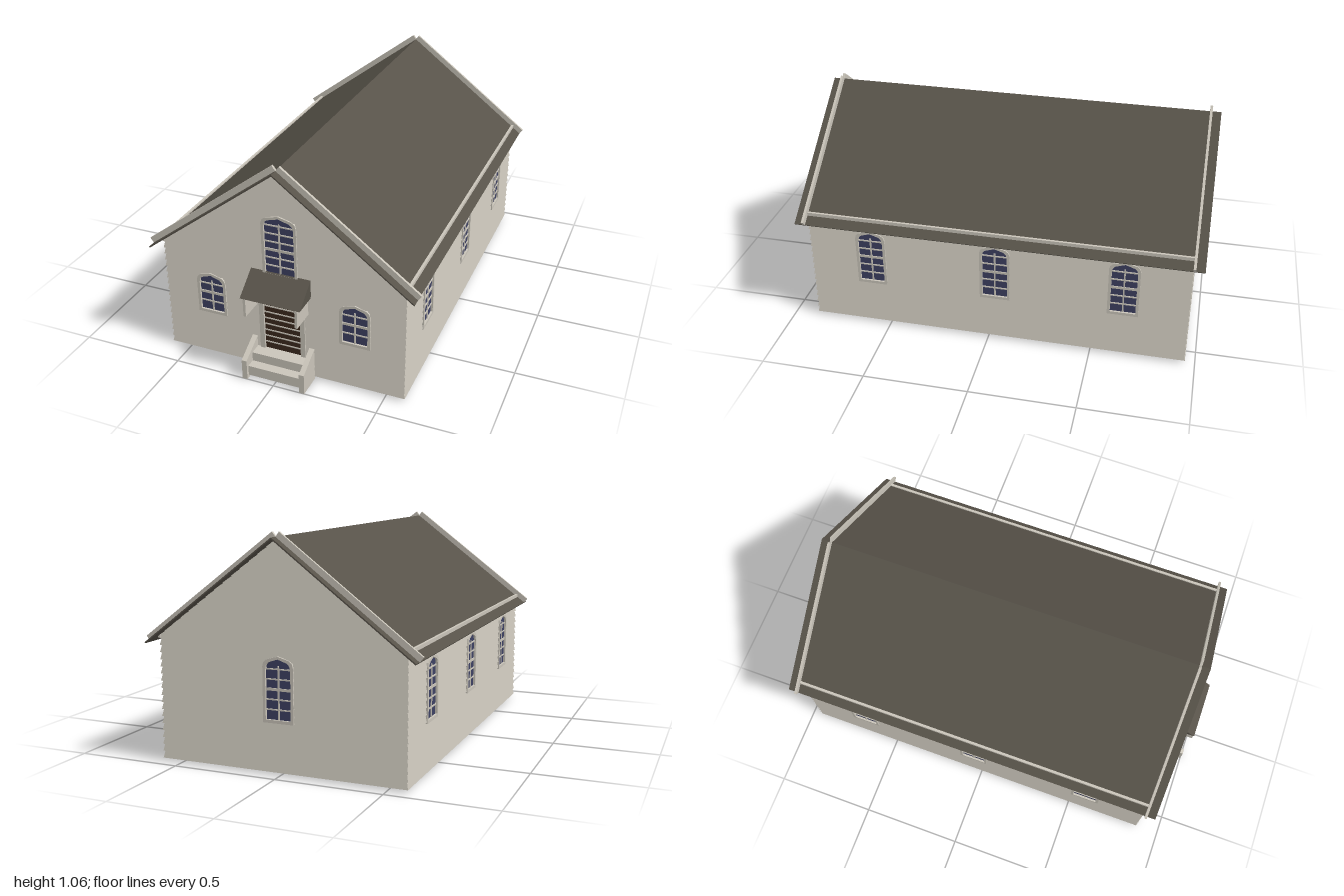
import * as THREE from 'three';

const mat = (name, color) => Object.assign(new THREE.MeshStandardMaterial({ color }), { name });

const BASE = 0.015, APEX = 1.04, PITCH = 0.756, ROW = 0.0327, LAP = 0.007;

export function createModel() {
  const paint = mat('pale paint', 0xc9c4b9);
  const slate = mat('dark roof', 0x575249);
  const pane = mat('blue glass', 0x3d4062);
  const wood = mat('brown door', 0x3a281c);
  const model = new THREE.Group();
  model.name = 'chapel';

  const add = (parent, name, geo, material, x = 0, y = 0, z = 0) => {
    const m = new THREE.Mesh(geo, material);
    m.name = name;
    m.position.set(x, y, z);
    parent.add(m);
    return m;
  };
  const box = (parent, name, material, w, h, d, x, y, z) =>
    add(parent, name, new THREE.BoxGeometry(w, h, d), material, x, y, z);

  // Right-hand outlines of openings, from bottom to top
  const arch = (w, y0, y1) => [[w, y0], [w, y1 - 0.045], [0.93 * w, y1 - 0.027], [0.75 * w, y1 - 0.015], [0, y1]];
  const rect = (w, y0, y1) => [[w, y0], [w, y1]];
  const widthAt = (pts, y) => {
    for (let i = 1; i < pts.length; i++) {
      const [a, b] = [pts[i - 1], pts[i]];
      if (y <= b[1] + 1e-6) return a[0] + (b[0] - a[0]) * (y - a[1]) / (b[1] - a[1]);
    }
    return 0;
  };
  // Mirrors a right-hand outline into a closed shape
  const closed = (pts, cx = 0, Type = THREE.Shape) => {
    const left = pts.filter(p => p[0] > 0).reverse().map(p => [-p[0], p[1]]);
    return new Type([...pts, ...left].map(p => new THREE.Vector2(cx + p[0], p[1])));
  };
  const extrude = (shape, depth) => new THREE.ExtrudeGeometry(shape, { depth, bevelEnabled: false });

  // Lapped boards, cut around the openings
  function siding(outline, openings) {
    const top = outline[outline.length - 1][1];
    const ys = [];
    for (let y = BASE; y < top; y += ROW) ys.push(y);
    const breaks = [...ys, ...outline.map(p => p[1]), ...openings.flatMap(o => o.pts.map(p => p[1]))]
      .sort((a, b) => a - b).filter((y, i, all) => i === 0 || y - all[i - 1] > 1e-5);
    const pos = [];
    const quad = (a, b, c, d) => pos.push(...a, ...b, ...c, ...a, ...c, ...d);
    for (let i = 0; i + 1 < breaks.length; i++) {
      const yb = breaks[i], yt = breaks[i + 1], mid = (yb + yt) / 2;
      const start = BASE + Math.floor((mid - BASE) / ROW) * ROW;
      const out = y => LAP * (1 - (y - start) / ROW) + 0.0005;
      const db = out(yb), dt = out(yt);
      const wb = widthAt(outline, yb) + db, wt = widthAt(outline, yt) + dt;
      const cuts = openings.filter(o => mid > o.pts[0][1] && mid < o.pts[o.pts.length - 1][1])
        .sort((a, b) => a.x - b.x);
      const edges = [[-wb, -wt]];
      for (const o of cuts) {
        const hb = widthAt(o.pts, yb), ht = widthAt(o.pts, yt);
        edges.push([o.x - hb, o.x - ht], [o.x + hb, o.x + ht]);
      }
      edges.push([wb, wt]);
      for (let k = 0; k < edges.length; k += 2) {
        const [l, r] = [edges[k], edges[k + 1]];
        quad([l[0], yb, db], [r[0], yb, db], [r[1], yt, dt], [l[1], yt, dt]);
        if (Math.abs(yb - start) < 1e-4) quad([l[0], yb, 0], [r[0], yb, 0], [r[0], yb, db], [l[0], yb, db]);
      }
    }
    const geo = new THREE.BufferGeometry();
    geo.setAttribute('position', new THREE.Float32BufferAttribute(pos, 3));
    geo.computeVertexNormals();
    return geo;
  }

  // Glass or door leaf, surround and bars for one opening
  function fitting(parent, o) {
    const { x, pts, door } = o;
    const w = pts[0][0], y0 = pts[0][1], y1 = pts[pts.length - 1][1];
    const g = new THREE.Group();
    g.name = door ? 'door' : 'window';
    g.position.x = x;
    parent.add(g);
    add(g, door ? 'doorLeaf' : 'glass', extrude(closed(pts), 0.005), door ? wood : pane, 0, 0, -0.004);
    const outer = closed(door ? rect(0.113, y0 - 0.008, 0.44) : arch(w + 0.013, y0 - 0.014, y1 + 0.012));
    outer.holes.push(closed(pts, 0, THREE.Path));
    add(g, 'surround', extrude(outer, 0.014), paint, 0, 0, -0.003);
    if (door) {
      for (let y = BASE + ROW * 4; y < y1; y += ROW) box(g, 'doorRail', paint, 2 * w, 0.006, 0.004, 0, y, 0.002);
      return;
    }
    box(g, 'centreBar', paint, 0.007, y1 - y0 - 0.03, 0.005, 0, (y0 + y1 - 0.03) / 2, 0.003);
    const n = Math.round((y1 - y0) / 0.043);
    for (let i = 1; i < n; i++) {
      const y = y0 + (y1 - y0) * i / n;
      const meeting = i === Math.floor(n / 2);
      box(g, meeting ? 'meetingRail' : 'crossBar', paint, 2 * widthAt(pts, y), meeting ? 0.012 : 0.006, 0.005, 0, y, 0.003);
    }
  }

  // One wall: hollow panel with openings, siding and fittings
  function wall(name, outline, openings, x, z, turn) {
    const g = new THREE.Group();
    g.name = name;
    g.position.set(x, 0, z);
    g.rotation.y = turn;
    model.add(g);
    const shape = closed(outline);
    openings.forEach(o => shape.holes.push(closed(o.pts, o.x, THREE.Path)));
    add(g, 'wallPanel', extrude(shape, 0.02), paint, 0, 0, -0.02);
    add(g, 'siding', siding(outline, openings), paint);
    openings.forEach(o => fitting(g, o));
  }

  const HALF = 0.585, EAVE = 0.588, MID = -0.035, LENGTH = 0.911;
  const gable = [[HALF, BASE], [HALF, EAVE], [0, 1.03]];
  const sideWindow = x => ({ x, pts: arch(0.06, 0.25, 0.518) });
  wall('frontWall', gable, [
    { x: -0.354, pts: arch(0.06, 0.25, 0.44) },
    { x: 0.354, pts: arch(0.06, 0.25, 0.44) },
    { x: 0, pts: arch(0.071, 0.525, 0.808) },
    { x: 0, pts: rect(0.09, 0.11, 0.4), door: true },
  ], 0, MID + LENGTH, 0);
  wall('backWall', gable, [sideWindow(0)], 0, MID - LENGTH, Math.PI);
  for (const s of [1, -1]) {
    wall(s > 0 ? 'leftWall' : 'rightWall', rect(LENGTH, BASE, EAVE),
      [-0.61, 0, 0.61].map(sideWindow), s * HALF, MID, s * Math.PI / 2);
  }

  // Roof slopes with raised rake and eave strips
  const slope = 0.64 * Math.hypot(1, PITCH);
  for (const s of [1, -1]) {
    const g = new THREE.Group();
    g.name = s > 0 ? 'leftRoof' : 'rightRoof';
    g.position.set(0, APEX, MID);
    g.rotation.z = -s * Math.atan(PITCH);
    model.add(g);
    box(g, 'roofSlope', slate, slope, 0.006, 1.93, s * slope / 2, -0.003, 0);
    for (const e of [1, -1]) box(g, 'rakeStrip', paint, slope, 0.028, 0.012, s * slope / 2, 0.013, e * 0.918);
    box(model, 'eaveStrip', paint, 0.012, 0.03, 1.836, s * 0.595, 0.587, MID);
  }

  // Side profile in (z, y), extruded across x
  const across = (pts, width) => extrude(new THREE.Shape(pts.map(p => new THREE.Vector2(...p))), width)
    .translate(0, 0, -width / 2).rotateY(-Math.PI / 2);

  // Door canopy on two brackets
  add(model, 'canopy', across([[0.88, 0.44], [1, 0.44], [0.88, 0.53]], 0.29), slate);
  for (const s of [1, -1]) {
    box(model, 'canopyBracket', paint, 0.012, 0.092, 0.117, s * 0.125, 0.395, 0.9405);
    // Sloping stoop cheeks
    add(model, 'stoopCheek', across([[0.88, 0], [1, 0], [1, 0.1], [0.88, 0.165]], 0.025), paint, s * 0.143);
  }
  // Steps
  box(model, 'upperStep', paint, 0.262, 0.095, 0.06, 0, 0.0625, 0.91);
  box(model, 'lowerStep', paint, 0.262, 0.05, 0.045, 0, 0.04, 0.9625);

  return model;
}
